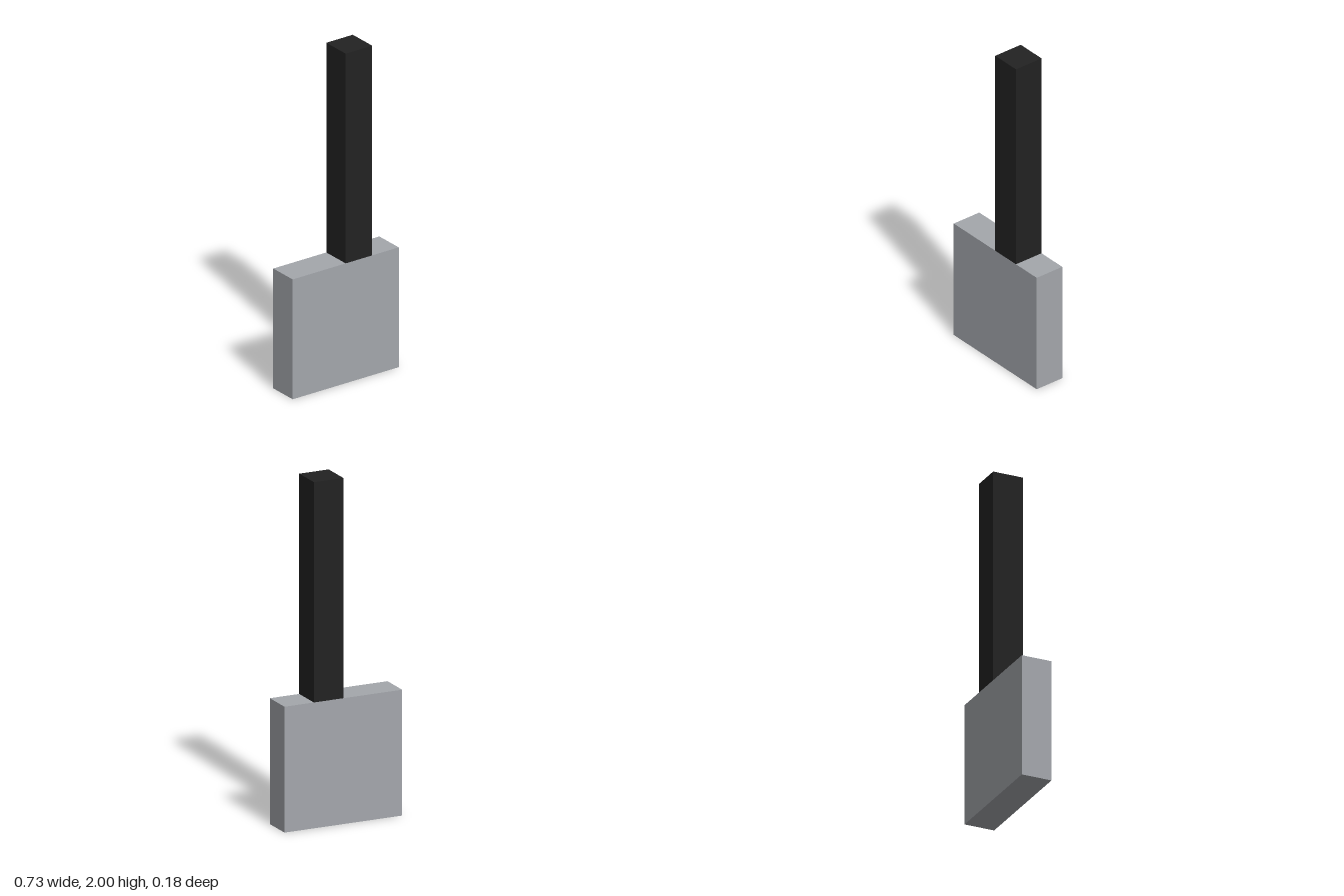
import * as THREE from 'three';

const UNIT = 1 / 11; // the model is 22 units tall

export function createModel() {
  const group = new THREE.Group();
  const grey = new THREE.MeshStandardMaterial({ color: 0xa4a7ac });
  grey.name = 'steel grey';
  const black = new THREE.MeshStandardMaterial({ color: 0x222222 });
  black.name = 'black';

  // Box given by its size and the centre of its base, in units
  function addBox(name, material, [w, h, d], [x, y, z]) {
    const geometry = new THREE.BoxGeometry(w * UNIT, h * UNIT, d * UNIT);
    const mesh = new THREE.Mesh(geometry, material);
    mesh.name = name;
    mesh.position.set(x * UNIT, (y + h / 2) * UNIT, z * UNIT);
    group.add(mesh);
  }

  // Square head standing on the ground
  addBox('head', grey, [8, 8, 2], [0, 0, 0]);
  // Upright handle, one edge on the centre line
  addBox('handle', black, [2, 14, 2], [1, 8, 0]);

  return group;
}
